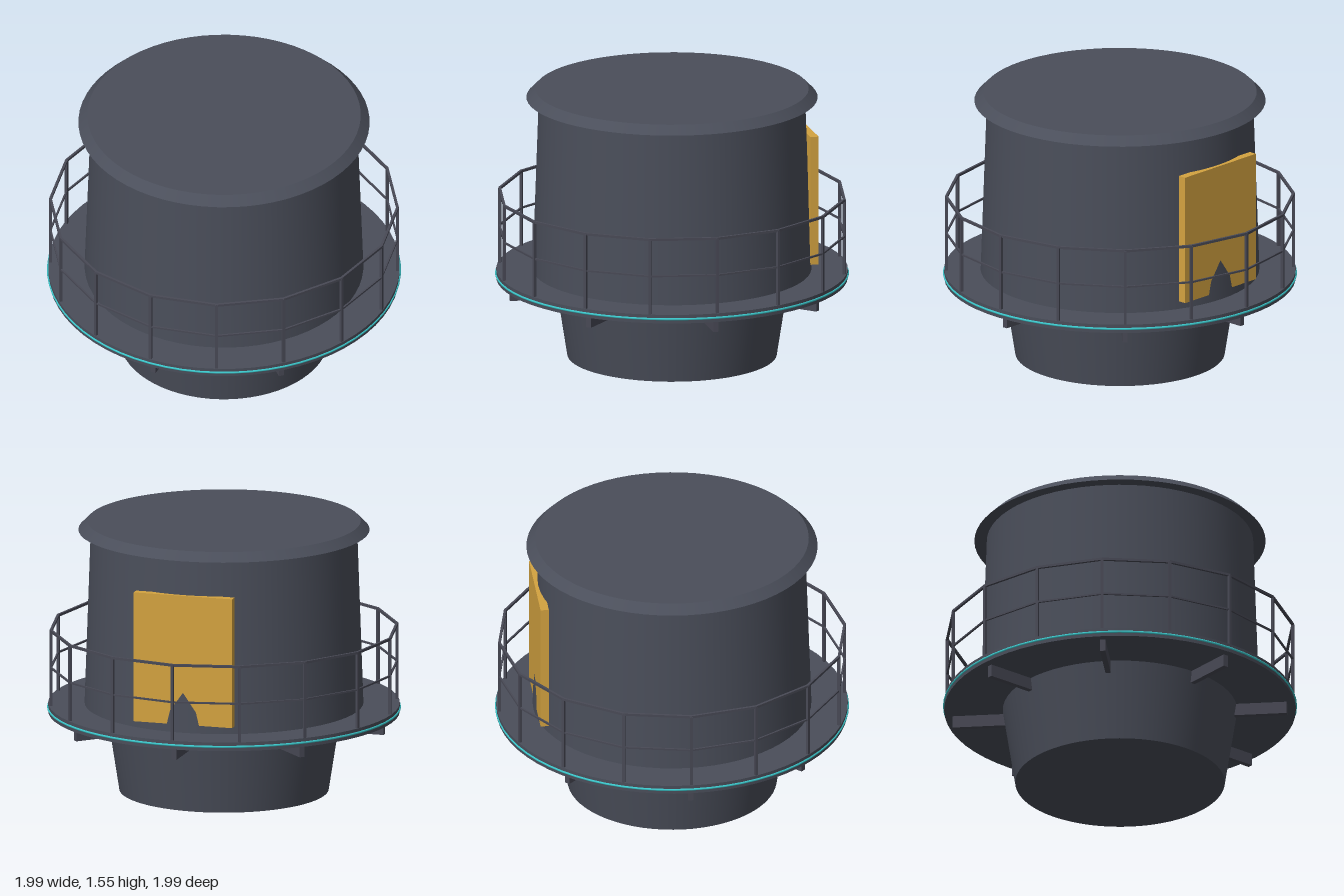
import * as THREE from 'three';

const SIDES = 64;

export function createModel() {
  const model = new THREE.Group();
  const hull = new THREE.MeshStandardMaterial({ name: 'slate grey', color: 0x4a4e5a });
  const metal = new THREE.MeshStandardMaterial({ name: 'railing grey', color: 0x484955 });
  const amber = new THREE.MeshStandardMaterial({ name: 'amber', color: 0xd4a340 });
  const teal = new THREE.MeshStandardMaterial({ name: 'teal', color: 0x3cc8cc });

  function add(name, geometry, material, parent = model) {
    const mesh = new THREE.Mesh(geometry, material);
    mesh.name = name;
    parent.add(mesh);
    return mesh;
  }

  // Round body sections: name, top radius, bottom radius, bottom y, top y
  const sections = [
    ['taperedBase', 0.66, 0.59, 0, 0.45],
    ['platform', 0.99, 0.99, 0.45, 0.5],
    ['drum', 0.75, 0.785, 0.5, 1.5],
    ['roof', 0.77, 0.82, 1.5, 1.55],
  ];
  for (const [name, top, bottom, y0, y1] of sections) {
    add(name, new THREE.CylinderGeometry(top, bottom, y1 - y0, SIDES), hull).position.y = (y0 + y1) / 2;
  }

  // Light strip around the platform edge
  const strip = add('edgeLight', new THREE.TorusGeometry(0.99, 0.007, 6, SIDES), teal);
  strip.rotation.x = Math.PI / 2;
  strip.position.y = 0.475;

  // Flat panel let into the back of the drum
  add('backPanel', new THREE.BoxGeometry(0.58, 0.745, 0.047), amber).position.set(0, 0.9175, -0.7535);

  // Radial brackets under the platform
  const brackets = new THREE.Group();
  brackets.name = 'brackets';
  model.add(brackets);
  for (let i = 0; i < 8; i++) {
    const a = (i * Math.PI) / 4;
    const bracket = add('bracket', new THREE.BoxGeometry(0.03, 0.07, 0.345), metal, brackets);
    bracket.position.set(Math.sin(a) * 0.7725, 0.415, Math.cos(a) * 0.7725);
    bracket.rotation.y = a;
  }

  // Railing: sixteen posts joined by straight rails
  const railing = new THREE.Group();
  railing.name = 'railing';
  model.add(railing);
  const count = 16, radius = 0.978, step = (Math.PI * 2) / count;
  const chord = 2 * radius * Math.sin(step / 2);
  const middle = radius * Math.cos(step / 2);
  for (let i = 0; i < count; i++) {
    const a = i * step;
    const post = add('post', new THREE.BoxGeometry(0.016, 0.44, 0.016), metal, railing);
    post.position.set(Math.sin(a) * radius, 0.715, Math.cos(a) * radius);
    post.rotation.y = a;
    const b = a + step / 2;
    for (const [name, y, size] of [['topRail', 0.934, 0.014], ['midRail', 0.72, 0.01]]) {
      const rail = add(name, new THREE.BoxGeometry(chord + 0.003, size, size), metal, railing);
      rail.position.set(Math.sin(b) * middle, y, Math.cos(b) * middle);
      rail.rotation.y = b;
    }
  }

  return model;
}
